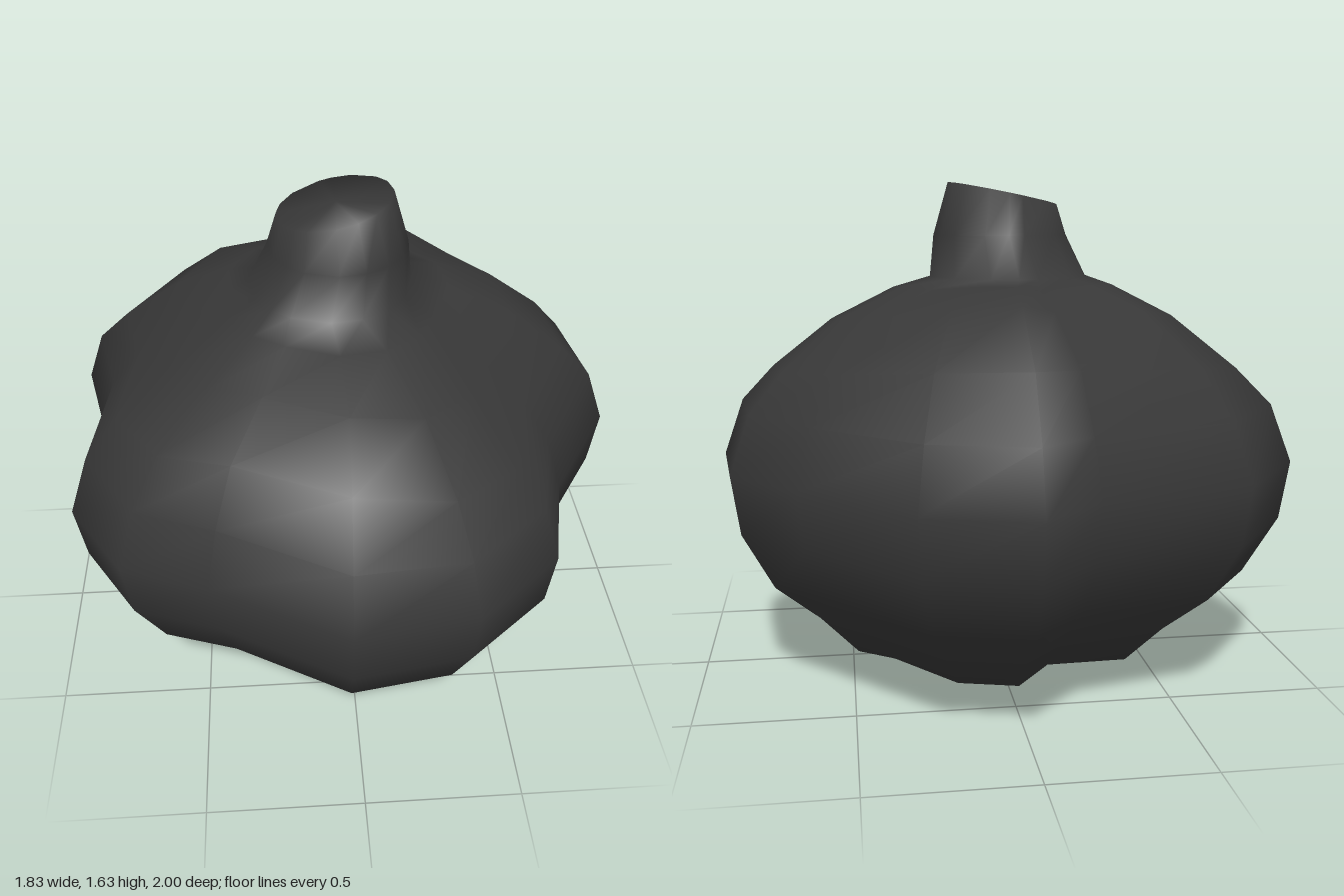
import * as THREE from 'three';

// Lobed outline seen from above, as [x, z] at the widest level
const OUTLINE = [
  [0, -1], [0.33, -0.91], [0.66, -0.58], [0.865, -0.36], [0.91, 0], [0.68, 0.37], [0.6, 0.71], [0.33, 0.94],
  [-0.04, 1], [-0.45, 0.77], [-0.715, 0.67], [-0.89, 0.39], [-0.84, -0.08], [-0.915, -0.39], [-0.675, -0.7], [-0.19, -0.83],
];
const MID = 0.74;

// Skins rings from bottom to top into one smooth closed surface.
function loft(rings) {
  const n = OUTLINE.length, pos = [], index = [];
  // lobe: 0 = round, 1 = full outline; cx: x offset; tilt: slope along x;
  // drop: lower towards both sides; lean: lower towards the front; slump: lower at the front left corner
  for (const { r, y, lobe = 0, cx = 0, tilt = 0, drop = 0, lean = 0, slump = 0 } of rings) {
    for (const [ox, oz] of OUTLINE) {
      const len = Math.hypot(ox, oz);
      const k = r * THREE.MathUtils.lerp(1 / len, 1, lobe);
      // grooves sit a little closer to mid height than the lobes
      const lift = 1 - 0.4 * lobe * Math.max(0, 0.95 - len);
      const sag = drop * ox * ox + lean * oz + slump * Math.max(0, ox + oz - 0.93);
      pos.push(cx + ox * k, MID + (y - MID) * lift + ox * k * tilt - sag, oz * k);
    }
  }
  // the first and last rings are points, each welded to one vertex
  const last = (rings.length - 1) * n;
  const weld = (v) => (v < n ? 0 : v >= last ? last : v);
  for (let j = 0; j < rings.length - 1; j++) {
    for (let i = 0; i < n; i++) {
      const a = j * n + i, b = j * n + (i + 1) % n;
      if (j > 0) index.push(a, weld(a + n), b);
      if (a + n < last) index.push(weld(b), a + n, b + n);
    }
  }
  const g = new THREE.BufferGeometry();
  g.setAttribute('position', new THREE.Float32BufferAttribute(pos, 3));
  g.setIndex(index);
  g.computeVertexNormals();
  return g;
}

export function createModel() {
  const group = new THREE.Group();
  group.name = 'pumpkin';

  // small knob in the dish underneath
  const knob = [
    { r: 0, y: 0, cx: -0.03 },
    { r: 0.145, y: 0.02, cx: -0.03 },
    { r: 0.19, y: 0.09, cx: -0.03 },
    { r: 0.25, y: 0.155, cx: -0.02 },
  ];
  const lobes = [
    { r: 0.38, y: 0.145, lobe: 0.6 },
    { r: 0.56, y: 0.085, lobe: 1, lean: 0.01 },
    { r: 0.7, y: 0.23, lobe: 1 },
    { r: 0.86, y: 0.36, lobe: 1 },
    { r: 0.97, y: 0.55, lobe: 1 },
    { r: 1, y: 0.74, lobe: 1 },
    { r: 0.93, y: 0.925, lobe: 1, slump: 0.08 },
    { r: 0.815, y: 1.11, lobe: 1, drop: 0.085, slump: 0.2 },
    { r: 0.6, y: 1.245, lobe: 1, drop: 0.06, lean: 0.025, slump: 0.12 },
    { r: 0.38, y: 1.295, lobe: 0.6, cx: -0.02, lean: 0.015 },
  ];
  // tapered stem with a slanted cut
  const stem = [
    { r: 0.262, y: 1.325, cx: -0.045 },
    { r: 0.222, y: 1.46, cx: -0.018 },
    { r: 0.182, y: 1.595, cx: -0.027, tilt: 0.2 },
    { r: 0, y: 1.598, cx: -0.025 },
  ];

  const body = new THREE.Mesh(
    loft([...knob, ...lobes, ...stem]),
    new THREE.MeshStandardMaterial({ color: 0x383838 }),
  );
  body.name = 'bodyWithStem';
  group.add(body);
  return group;
}
